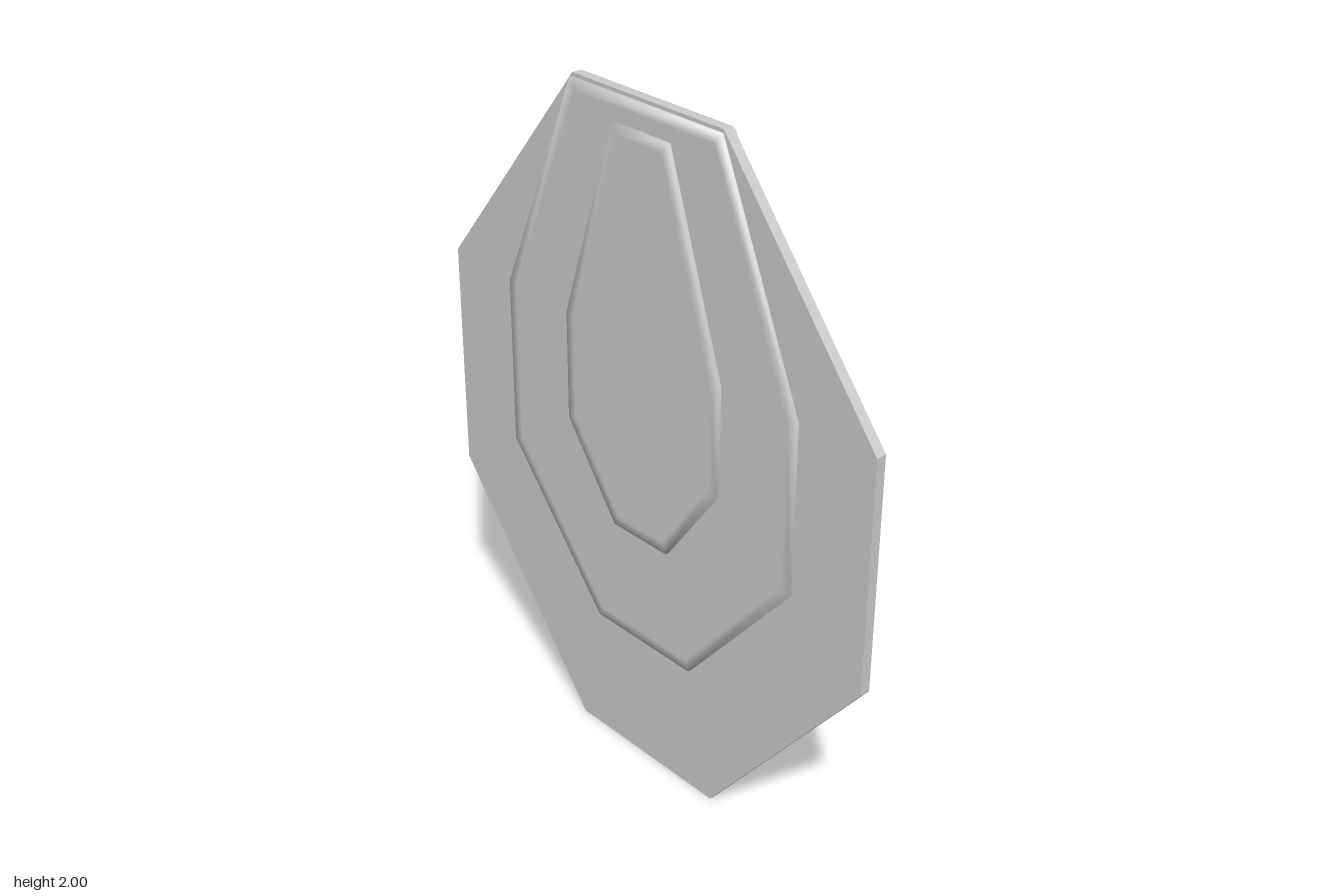
import * as THREE from 'three';

// Mirrored octagon, clockwise; half = right-hand corners, top to bottom
function octagon(half) {
  return [...half, ...half.map(([x, y]) => [-x, y]).reverse()].map(([x, y]) => new THREE.Vector2(x, y));
}

// Moves every side of a clockwise outline inwards by width
function inset(points, width) {
  const inward = (a, b) => new THREE.Vector2(b.y - a.y, a.x - b.x).normalize();
  return points.map((p, i) => {
    const n1 = inward(points.at(i - 1), p);
    const n2 = inward(p, points[(i + 1) % points.length]);
    return n1.clone().add(n2).multiplyScalar(width / (1 + n1.dot(n2))).add(p);
  });
}

// Shell open at the back: a wall from -z to +z, then a flat front through the inner loops
function shell(name, outline, z, innerLoops, flatShading) {
  const n = outline.length;
  const positions = outline.flatMap((p) => [p.x, p.y, -z]);
  for (const loop of [outline, ...innerLoops]) positions.push(...loop.flatMap((p) => [p.x, p.y, z]));
  const index = [];
  for (let k = 0; k <= innerLoops.length; k++) {
    for (let i = 0; i < n; i++) {
      const a = k * n + i;
      const b = k * n + ((i + 1) % n);
      index.push(a, a + n, b, b, a + n, b + n);
    }
  }
  const geometry = new THREE.BufferGeometry();
  geometry.setAttribute('position', new THREE.Float32BufferAttribute(positions, 3));
  geometry.setIndex(index);
  geometry.computeVertexNormals();
  const mesh = new THREE.Mesh(
    geometry,
    new THREE.MeshStandardMaterial({ color: 0xcccccc, side: THREE.DoubleSide, flatShading }),
  );
  mesh.name = name;
  return mesh;
}

export function createModel() {
  const base = octagon([[0.275, 2], [0.807, 1.345], [0.807, 0.663], [0.275, 0]]);
  const middle = octagon([[0.275, 1.99], [0.555, 1.335], [0.555, 0.835], [0.188, 0.403]]);
  const inner = octagon([[0.103, 1.92], [0.295, 1.335], [0.295, 1.015], [0.105, 0.753]]);
  const centre = inner.map(() => new THREE.Vector2(0, 1.2));
  const rim = 0.03; // softly shaded border of the raised layers
  const lip = 0.042; // how far each layer reaches in under the next

  const group = new THREE.Group();
  group.name = 'layeredPlate';
  group.add(
    // Wide base with an opening under the middle layer
    shell('basePlate', base, 0.015, [inset(middle, lip)], true),
    // Raised layer with an opening under the inner panel
    shell('middlePlate', middle, 0.025, [inset(middle, rim), inset(inner, lip)], false),
    // Closed central panel
    shell('innerPlate', inner, 0.036, [inset(inner, rim), centre], false),
  );
  return group;
}
